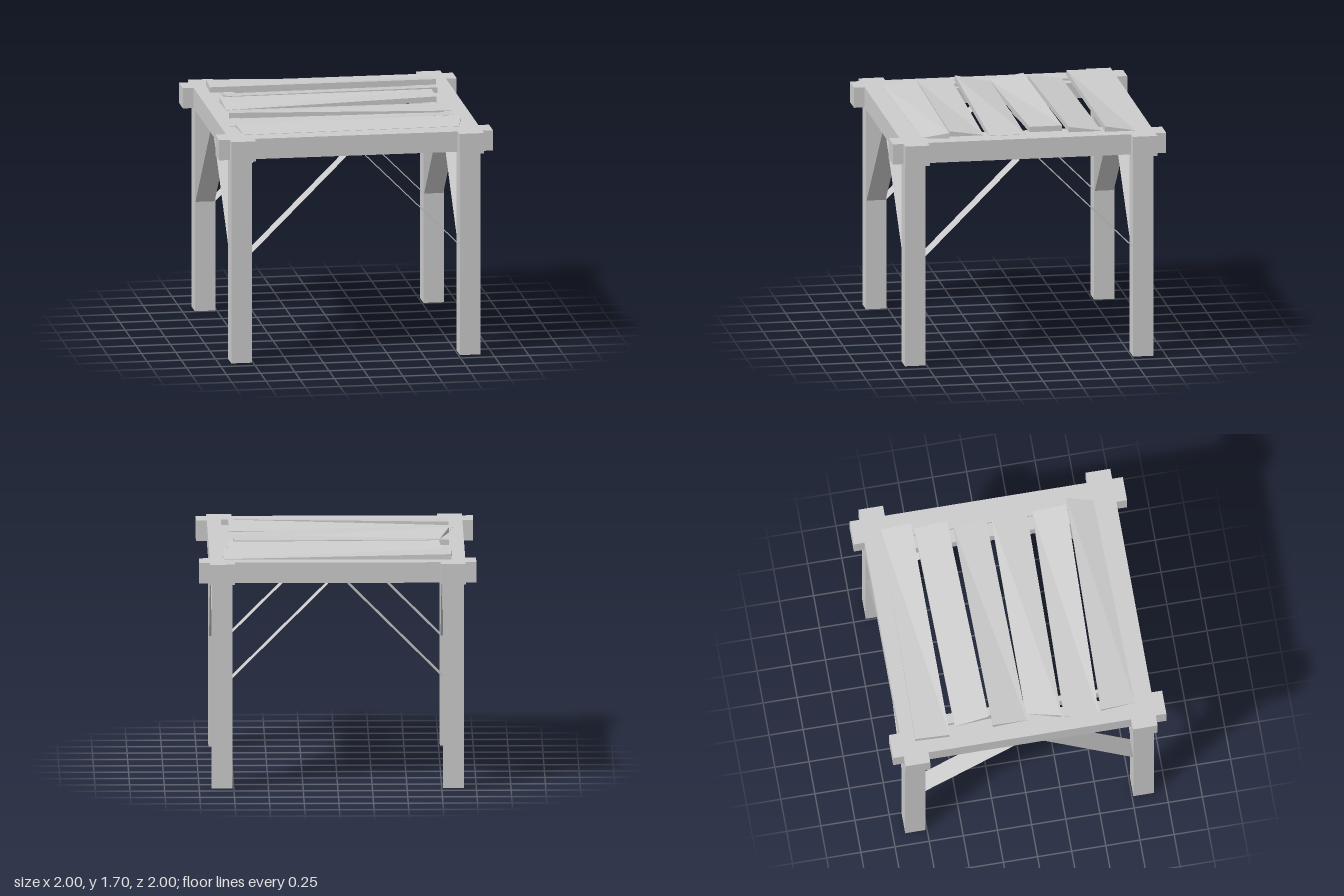
import * as THREE from 'three';

const material = new THREE.MeshStandardMaterial({ color: 0xcccccc, flatShading: true });
const thinMaterial = new THREE.MeshStandardMaterial({ color: 0xcccccc, flatShading: true, side: THREE.DoubleSide });

function box(parent, name, size, position) {
  const mesh = new THREE.Mesh(new THREE.BoxGeometry(...size), material);
  mesh.name = name;
  mesh.position.set(...position);
  parent.add(mesh);
}

// Uneven board: corners are [x, z, top y], ordered back -x, back +x, front +x, front -x
function board(parent, name, corners, thickness) {
  const geometry = new THREE.BoxGeometry(1, 1, 1);
  const p = geometry.attributes.position;
  for (let i = 0; i < p.count; i++) {
    const right = p.getX(i) > 0;
    const c = corners[p.getZ(i) < 0 ? (right ? 1 : 0) : (right ? 2 : 3)];
    p.setXYZ(i, c[0], c[2] - (p.getY(i) < 0 ? thickness : 0), c[1]);
  }
  const flat = geometry.toNonIndexed();
  flat.computeVertexNormals();
  const mesh = new THREE.Mesh(flat, material);
  mesh.name = name;
  parent.add(mesh);
}

export function createModel() {
  const table = new THREE.Group();
  table.name = 'rusticTable';

  // Square legs
  for (const sx of [-1, 1]) for (const sz of [-1, 1])
    box(table, 'leg', [0.15, 1.51, 0.15], [sx * 0.835, 0.755, sz * 0.835]);

  // Frame beams crossing at the corners with protruding ends
  for (const s of [-1, 1]) {
    box(table, 'crossBeam', [2, 0.15, 0.18], [0, 1.585, s * 0.832]);
    box(table, 'sideBeam', [0.18, 0.15, 2], [s * 0.832, 1.585, 0]);
  }

  // Thin diagonal braces, two per side, rising from the legs to the beams
  const bottom = [0.76, 0.81], top = [0.07, 1.5];
  const length = Math.hypot(bottom[0] - top[0], top[1] - bottom[1]);
  for (let side = 0; side < 4; side++) {
    const pair = new THREE.Group();
    pair.name = 'bracePair';
    pair.rotation.y = side * Math.PI / 2;
    for (const s of [-1, 1]) {
      const geometry = new THREE.PlaneGeometry(length, 0.14);
      geometry.rotateX(-Math.PI / 2);
      const brace = new THREE.Mesh(geometry, thinMaterial);
      brace.name = 'brace';
      brace.rotation.z = -s * Math.PI / 4;
      brace.position.set(s * (bottom[0] + top[0]) / 2, (bottom[1] + top[1]) / 2, 0.835);
      pair.add(brace);
    }
    table.add(pair);
  }

  // Ledgers carrying the planks
  board(table, 'ledger', [[-0.735, -0.75, 1.65], [-0.65, -0.75, 1.65], [-0.65, 0.75, 1.65], [-0.67, 0.75, 1.65]], 0.09);
  board(table, 'ledger', [[0.64, -0.75, 1.65], [0.74, -0.75, 1.65], [0.74, 0.75, 1.65], [0.64, 0.75, 1.65]], 0.09);

  // Crooked top planks, from back to front
  const lo = 1.662, hi = 1.7;
  const planks = [
    [[-0.82, -0.82, hi], [0.82, -0.79, lo], [0.82, -0.57, hi], [-0.83, -0.57, hi]],
    [[-0.76, -0.52, lo], [0.79, -0.55, lo], [0.79, -0.31, hi], [-0.74, -0.27, hi]],
    [[-0.81, -0.25, hi], [0.74, -0.27, hi], [0.74, -0.03, hi], [-0.8, 0, lo]],
    [[-0.75, 0, lo], [0.8, 0.01, lo], [0.8, 0.27, lo], [-0.82, 0.25, hi]],
    [[-0.82, 0.27, lo], [0.77, 0.31, lo], [0.77, 0.56, hi], [-0.86, 0.52, lo]],
    [[-0.82, 0.54, 1.685], [0.82, 0.57, hi], [0.78, 0.76, lo], [-0.8, 0.79, lo]],
  ];
  for (const corners of planks) board(table, 'plank', corners, 0.04);

  return table;
}
